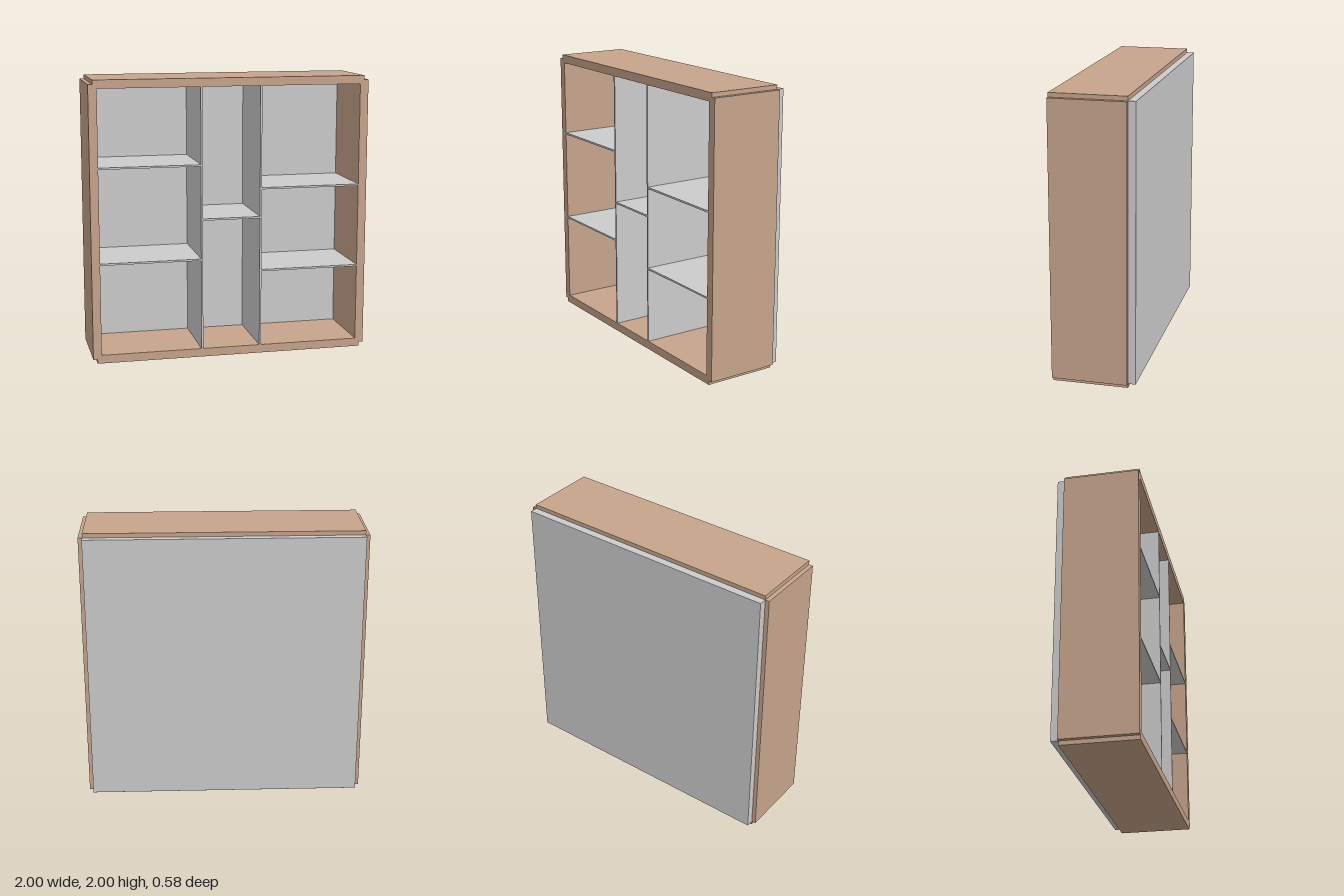
import * as THREE from 'three';

export function createModel() {
  const group = new THREE.Group();
  const wood = new THREE.MeshStandardMaterial({ color: 0xc6a48b });
  const grey = new THREE.MeshStandardMaterial({ color: 0xcccccc });

  // Box given by its extents along each axis
  function board(name, [x0, x1], [y0, y1], [z0, z1], material) {
    const mesh = new THREE.Mesh(new THREE.BoxGeometry(x1 - x0, y1 - y0, z1 - z0), material);
    mesh.position.set((x0 + x1) / 2, (y0 + y1) / 2, (z0 + z1) / 2);
    mesh.name = name;
    group.add(mesh);
  }

  const depth = [-0.237, 0.29];
  const inner = 0.94, lip = 0.97, t = 0.013, dividerX = 0.214;

  // Outer frame: boards overlap at the corners, leaving small notches
  board('topBoard', [-lip, lip], [1.94, 2], depth, wood);
  board('bottomBoard', [-lip, lip], [0, 0.06], depth, wood);
  board('leftSide', [inner, 1], [0.03, 1.97], depth, wood);
  board('rightSide', [-1, -inner], [0.03, 1.97], depth, wood);

  // Back panel, standing proud behind the frame
  board('backPanel', [-lip, lip], [0.03, 1.97], [-0.29, depth[0]], grey);

  // Upright dividers
  for (const [name, x] of [['leftDivider', dividerX], ['rightDivider', -dividerX]])
    board(name, [x - t / 2, x + t / 2], [0.06, 1.94], depth, grey);

  // Shelves in each of the three bays
  const edge = dividerX + t / 2;
  const bays = [
    ['rightShelf', [-inner, -edge], [0.715, 1.391]],
    ['middleShelf', [-dividerX + t / 2, dividerX - t / 2], [1.004]],
    ['leftShelf', [edge, inner], [0.615, 1.212]],
  ];
  for (const [name, span, heights] of bays)
    for (const y of heights) board(name, span, [y - t / 2, y + t / 2], depth, grey);

  return group;
}
